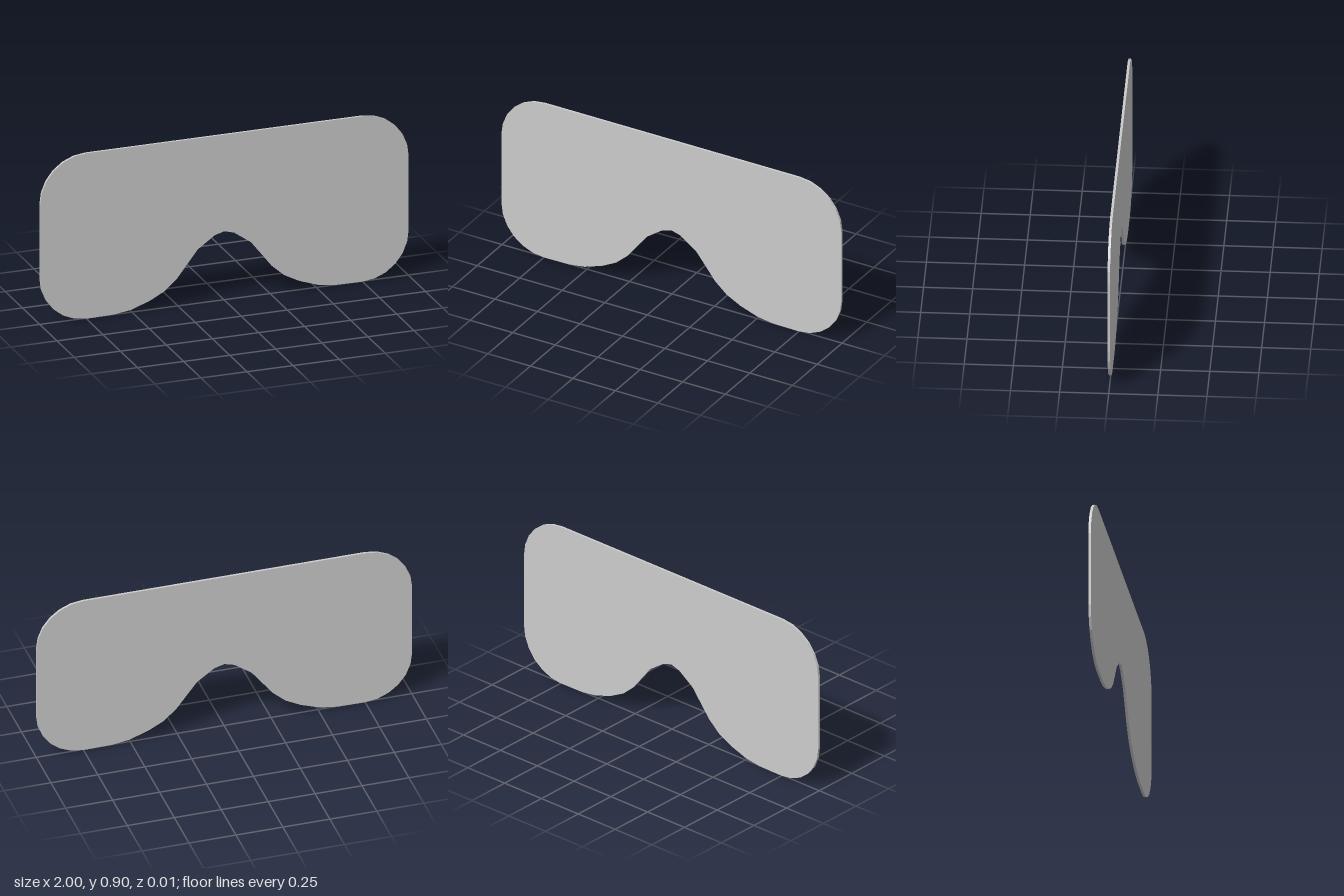
import * as THREE from 'three';

export function createModel() {
  const group = new THREE.Group();
  const height = 0.9, radius = 0.25, depth = 0.013;

  // Right half of the outline, from the nose arch round to the top edge
  const half = [
    [0, 0.375], [0.053, 0.36], [0.145, 0.295], [0.2, 0.225], [0.257, 0.152],
    [0.325, 0.092], [0.406, 0.05], [0.51, 0.014], [0.6, 0.002],
  ];
  const corner = (cy, from) => {
    const steps = 6;
    for (let i = 0; i <= steps; i++) {
      const a = from + (i / steps) * Math.PI / 2;
      half.push([1 - radius + radius * Math.cos(a), cy + radius * Math.sin(a)]);
    }
  };
  corner(radius, -Math.PI / 2);
  corner(height - radius, 0);

  // Mirror to the other side; the arch centre is shared
  const mirrored = half.slice(1).reverse().map(([x, y]) => [-x, y]);
  const outline = [...half, ...mirrored].map(([x, y]) => new THREE.Vector2(x, y));

  // Thin flat plate with crisp edges
  const geometry = new THREE.ExtrudeGeometry(new THREE.Shape(outline), { depth, bevelEnabled: false });
  geometry.translate(0, 0, -depth / 2);
  const lens = new THREE.Mesh(geometry, new THREE.MeshStandardMaterial({ color: 0xcccccc }));
  lens.name = 'visorLens';
  group.add(lens);
  return group;
}
